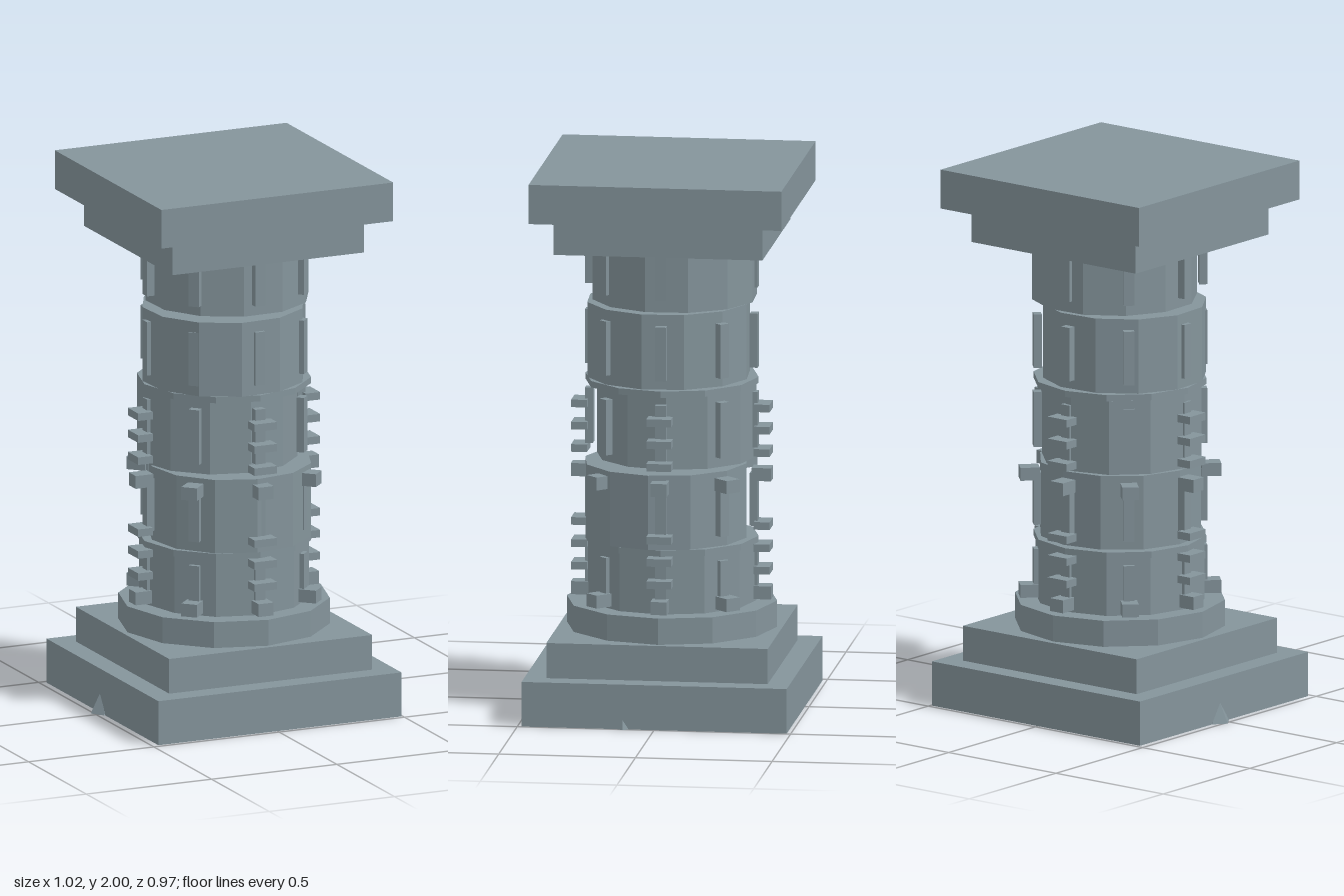
import * as THREE from 'three';

export function createModel() {
  const model = new THREE.Group();
  const stone = new THREE.MeshStandardMaterial({ color: 0x84949b });
  stone.name = 'grey stone';
  stone.flatShading = true;
  const CX = 0.01; // column axis

  function add(name, geometry, x, y, z, turn = 0, parent = model) {
    const mesh = new THREE.Mesh(geometry, stone);
    mesh.name = name;
    mesh.position.set(x, y, z);
    mesh.rotation.y = turn;
    parent.add(mesh);
    return mesh;
  }
  const slab = (name, width, y0, y1) =>
    add(name, new THREE.BoxGeometry(width, y1 - y0, width), CX, (y0 + y1) / 2, 0);
  const drum = (name, r, y0, y1, x, z, degrees) =>
    add(name, new THREE.CylinderGeometry(r, r, y1 - y0, 12), x, (y0 + y1) / 2, z,
      THREE.MathUtils.degToRad(degrees));

  // Stepped plinth and capital
  slab('plinth', 0.97, 0, 0.165);
  slab('plinthStep', 0.81, 0.165, 0.295);
  slab('capitalStep', 0.765, 1.727, 1.855);
  slab('capital', 0.925, 1.855, 2);

  // Shaft of slightly shifted and turned drums, with two open joints
  drum('baseCollar', 0.385, 0.295, 0.392, CX, 0, 0);
  drum('drum1', 0.31, 0.392, 0.606, CX, 0, 0);
  drum('jointRing1', 0.317, 0.606, 0.63, CX, 0, 0);
  drum('drum2', 0.3, 0.63, 0.905, 0.024, 0.02, 25);
  drum('drum3', 0.292, 0.92, 1.195, -0.01, -0.015, 0);
  drum('jointRing2', 0.317, 1.195, 1.218, CX, 0, 0);
  drum('drum4', 0.3, 1.218, 1.495, 0, 0.014, 18.5);
  drum('drum5', 0.302, 1.51, 1.727, 0.027, -0.012, 17);

  // Raised details repeated around the shaft
  function around(name, count, width, y0, y1, r0, r1) {
    const group = new THREE.Group();
    group.name = name + 's';
    group.position.x = CX;
    const geometry = new THREE.BoxGeometry(width, y1 - y0, r1 - r0);
    for (let i = 0; i < count; i++) {
      const a = (i / count) * Math.PI * 2;
      const r = (r0 + r1) / 2;
      add(name, geometry, Math.sin(a) * r, (y0 + y1) / 2, Math.cos(a) * r, a, group);
    }
    model.add(group);
  }
  for (const [y0, y1] of [[0.4, 0.58], [0.67, 0.865], [0.96, 1.165], [1.255, 1.455], [1.552, 1.73]])
    around('verticalRib', 8, 0.04, y0, y1, 0.287, 0.316);
  for (const y of [0.51, 0.593, 0.675, 0.945, 1.028, 1.11])
    around('crossBar', 4, 0.09, y - 0.014, y + 0.014, 0.305, 0.363);
  for (const y of [0.425, 0.862])
    around('stud', 8, 0.06, y - 0.024, y + 0.024, 0.295, 0.366);

  // Small broken stones at the foot of the plinth
  add('rubble', new THREE.ConeGeometry(0.048, 0.095, 5), -0.463, 0.0475, -0.022, -1.6);
  add('rubble', new THREE.ConeGeometry(0.03, 0.06, 5), 0.481, 0.03, 0.115, 1.6);

  return model;
}
